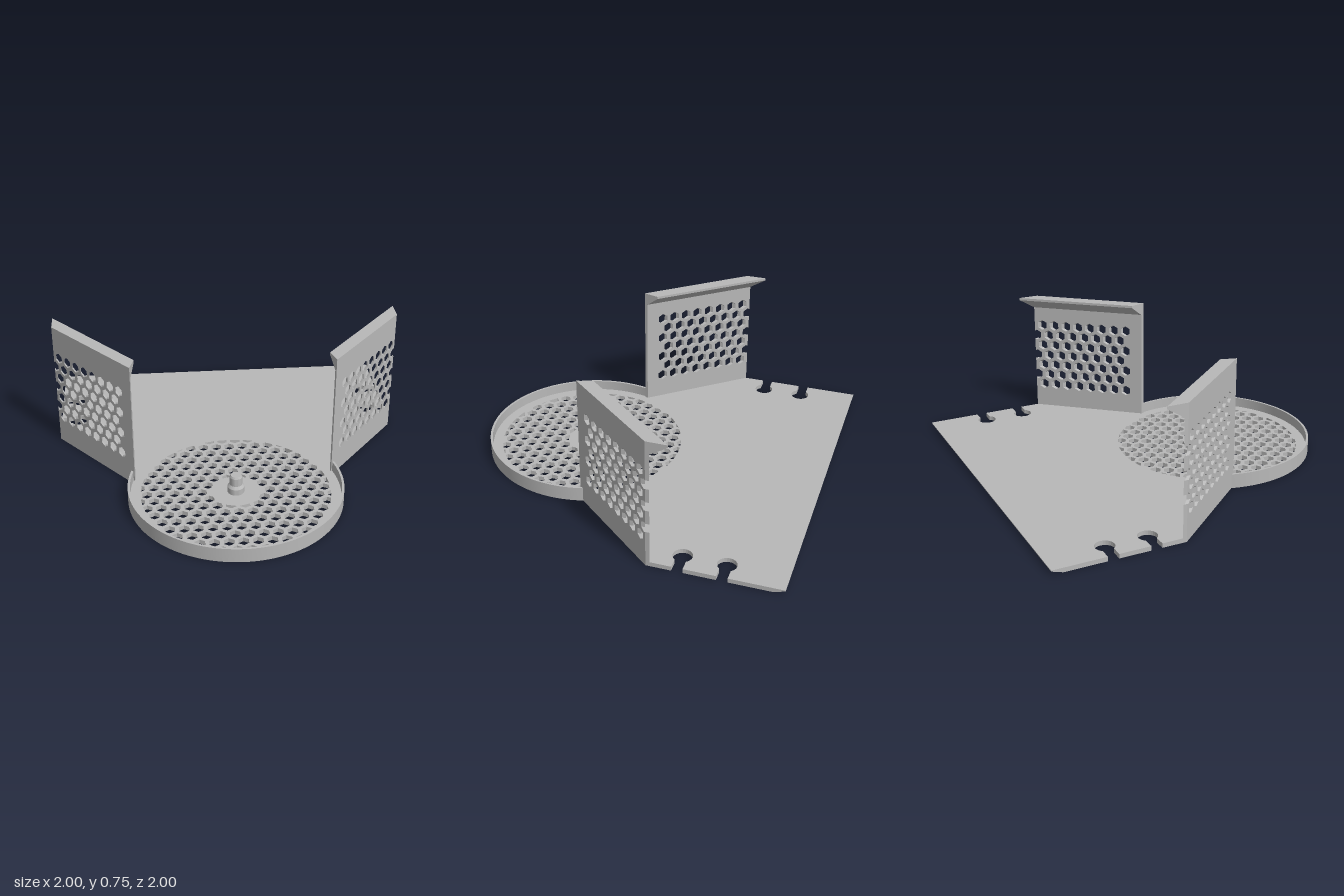
import * as THREE from 'three';
import { toCreasedNormals } from 'three/addons/utils/BufferGeometryUtils.js';

const PITCH = 0.0763, ROW = 0.0655, HEX = 0.032;   // honeycomb spacing and hole radius
const CZ = 0.398, R = 0.6, RIM_IN = 0.587;         // round tray
const THICK = 0.025, RIM_TOP = 0.083;
const COS = Math.cos(Math.PI * 50 / 180), SIN = Math.sin(Math.PI * 50 / 180);
const WALL_Z = -0.273, WALL_L = 0.44 / COS, WALL_H = 0.75, WALL_T = 0.022;
const END = -0.285;                                // angle where the rim meets a wall

const v2 = (x, y) => new THREE.Vector2(x, y);

function hexagon(x, y) {
  return Array.from({ length: 6 }, (_, i) => {
    const a = Math.PI / 2 + i * Math.PI / 3;
    return v2(x + HEX * Math.cos(a), y + HEX * Math.sin(a));
  });
}

// Keeps the part of a convex polygon where p . n <= limit
function clip(poly, n, limit) {
  const out = [];
  poly.forEach((p, i) => {
    const q = poly[(i + 1) % poly.length];
    const a = p.dot(n) - limit, b = q.dot(n) - limit;
    if (a <= 0) out.push(p);
    if (a * b < 0) out.push(p.clone().lerp(q, a / (a - b)));
  });
  return out;
}

// Honeycomb holes limited to a ring around the tray centre
function trayHoles() {
  const holes = [];
  for (let j = -9; j <= 9; j++) {
    for (let i = -9; i <= 9; i++) {
      const x = (i + (j % 2 === 0 ? 0.5 : 0)) * PITCH, y = j * ROW;
      const n = v2(x, y).normalize();
      let poly = clip(hexagon(x, y), n, 0.53);
      poly = clip(poly, n.clone().negate(), -0.14);
      if (poly.length < 3 || Math.abs(THREE.ShapeUtils.area(poly)) < 0.0001) continue;
      holes.push(new THREE.Path(poly.map(p => v2(p.x, p.y - CZ))));
    }
  }
  return holes;
}

// Edge points of a keyhole slot, going towards the front on the left side
function keyhole(z) {
  const cx = 0.895, r = 0.053, a0 = Math.asin(0.03 / r), pts = [v2(1, -(z - 0.03))];
  for (let i = 0; i <= 20; i++) {
    const a = a0 + (2 * Math.PI - 2 * a0) * i / 20;
    pts.push(v2(cx + r * Math.cos(a), -z + r * Math.sin(a)));
  }
  pts.push(v2(1, -(z + 0.03)));
  return pts;
}

function arc(radius, from, to, n) {
  return Array.from({ length: n + 1 }, (_, i) => {
    const a = from + (to - from) * i / n;
    return v2(radius * Math.cos(a), -CZ - radius * Math.sin(a));
  });
}

function extrudeUp(shape, depth) {
  const g = new THREE.ExtrudeGeometry(shape, { depth, bevelEnabled: false, curveSegments: 24 });
  return g.rotateX(-Math.PI / 2);
}

// Places wall coordinates (along, height, inward) on the slanted side of the plate
function placeOnSide(geometry, side, coords) {
  const p = geometry.attributes.position;
  for (let i = 0; i < p.count; i++) {
    const [u, y, d] = coords(p.getX(i), p.getY(i), p.getZ(i));
    const run = u * COS * (1 + d * 0.48);
    p.setXYZ(i, side * (1 - run), y, WALL_Z + run * SIN / COS - d);
  }
  if (side < 0) {
    // mirrored: reverse each triangle
    const a = new THREE.Vector3(), b = new THREE.Vector3();
    for (let i = 0; i < p.count; i += 3) {
      a.fromBufferAttribute(p, i + 1);
      b.fromBufferAttribute(p, i + 2);
      p.setXYZ(i + 1, b.x, b.y, b.z);
      p.setXYZ(i + 2, a.x, a.y, a.z);
    }
  }
  geometry.computeVertexNormals();
  return geometry;
}

function wallShape() {
  const pts = [v2(0, 0), v2(WALL_L, 0), v2(WALL_L, WALL_H), v2(0, WALL_H)];
  const holes = [];
  for (let j = 0; j < 7; j++) {
    const y = 0.565 - j * ROW;
    const last = j % 2 ? 0.545 : 0.583;
    for (let i = 0; i < 8; i++) {
      const u = last - i * PITCH;
      if (u > HEX) {
        holes.push(new THREE.Path(hexagon(u, y)));
      } else {
        // hole cut open by the wall's back edge
        const e = HEX - u * Math.tan(Math.PI / 6), w = HEX * 0.866;
        pts.push(v2(0, y + e), v2(u, y + HEX), v2(u + w, y + HEX / 2),
          v2(u + w, y - HEX / 2), v2(u, y - HEX), v2(0, y - e));
      }
    }
  }
  const shape = new THREE.Shape(pts);
  shape.holes = holes;
  return shape;
}

export function createModel() {
  const model = new THREE.Group();
  const grey = new THREE.MeshStandardMaterial({ color: 0xb8b8b8 });
  grey.name = 'grey';
  const add = (name, geometry) => {
    const mesh = new THREE.Mesh(geometry, grey);
    mesh.name = name;
    model.add(mesh);
  };

  // Base plate with keyhole slots, ending in the perforated round tray
  const BACK = -0.938;
  const half = [v2(1, -BACK), ...keyhole(-0.675), ...keyhole(-0.44), v2(1, -WALL_Z)];
  const mirrored = half.map(p => v2(-p.x, p.y)).reverse();
  const base = new THREE.Shape([...half, ...arc(R, END, Math.PI - END, 72), ...mirrored]);
  base.holes = trayHoles();
  add('basePlate', extrudeUp(base, THICK));

  // Back edge, bevelled from below
  const wedge = new THREE.Shape([v2(-BACK, 0), v2(1, 0.02), v2(1, THICK), v2(-BACK, THICK)]);
  const edge = new THREE.ExtrudeGeometry(wedge, { depth: 2, bevelEnabled: false });
  add('backEdge', edge.translate(0, 0, -1).rotateY(Math.PI / 2));

  // Raised rim around the front of the tray
  const rim = new THREE.Shape([
    ...arc(R, END, Math.PI - END, 72), ...arc(RIM_IN, Math.PI - END, END, 72)]);
  add('trayRim', toCreasedNormals(extrudeUp(rim, RIM_TOP), 0.5));

  // Centre pin on a collar
  const profile = [[0, 0.02], [0.047, 0.02], [0.047, 0.06], [0.035, 0.075],
    [0.035, 0.122], [0.029, 0.133], [0, 0.133]].map(([r, y]) => v2(r, y));
  const pin = new THREE.LatheGeometry(profile, 32).translate(0, 0, CZ);
  add('centrePin', toCreasedNormals(pin, 0.4));

  // Perforated side walls with a lip along the top
  const lip = new THREE.Shape([
    v2(WALL_T - 0.004, 0.678), v2(WALL_T, 0.678), v2(0.117, 0.736),
    v2(0.117, WALL_H), v2(WALL_T - 0.004, WALL_H)]);
  for (const [name, side] of [['left', 1], ['right', -1]]) {
    const wall = new THREE.ExtrudeGeometry(wallShape(), { depth: WALL_T, bevelEnabled: false });
    add(name + 'Wall', placeOnSide(wall, side, (x, y, z) => [x, y, z]));
    const top = new THREE.ExtrudeGeometry(lip, { depth: WALL_L, bevelEnabled: false });
    add(name + 'WallLip', placeOnSide(top, side, (x, y, z) => [WALL_L - z, y, x]));
  }
  return model;
}
